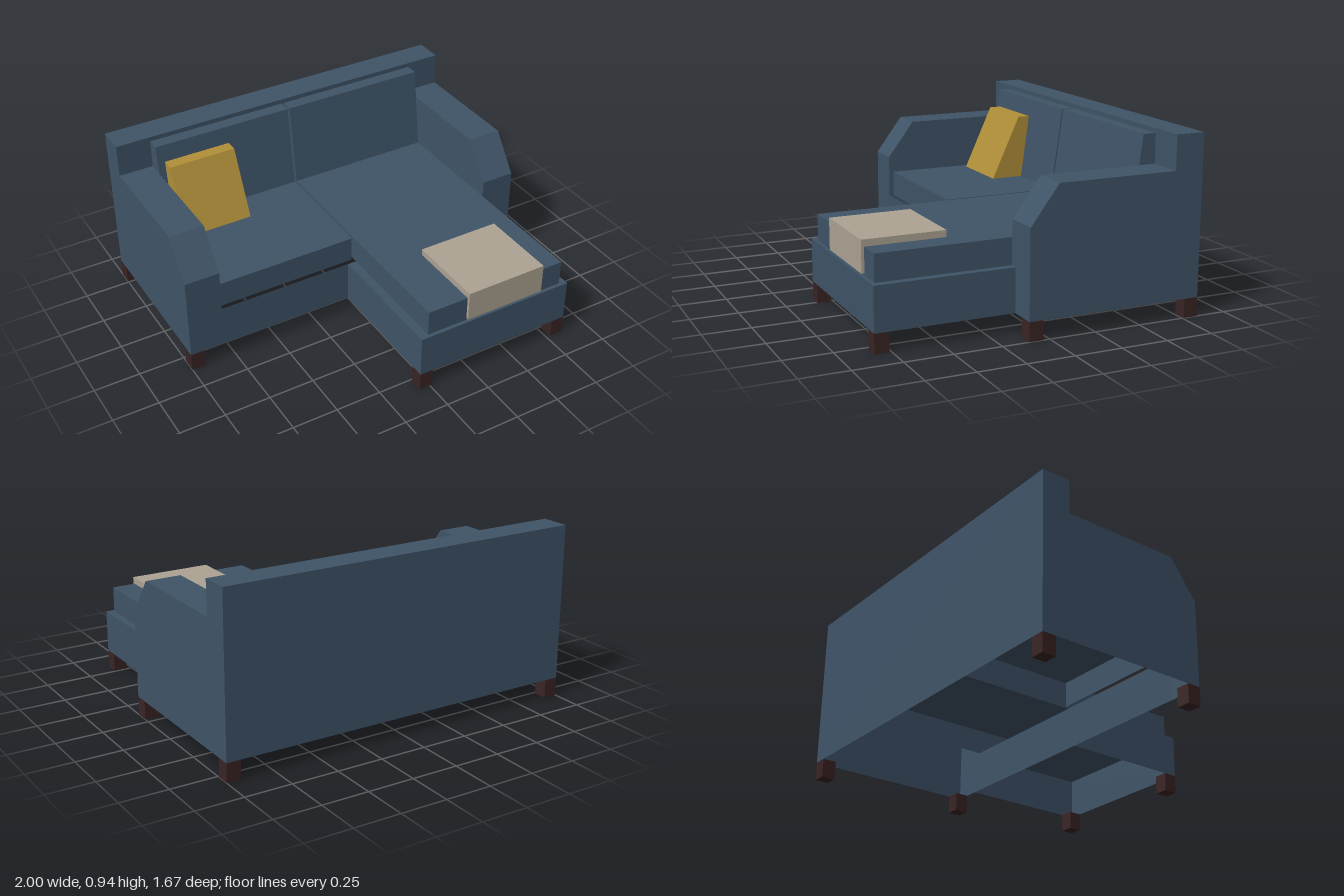
import * as THREE from 'three';

export function createModel() {
  const model = new THREE.Group();
  model.name = 'chaiseSofa';
  const material = (name, color) => {
    const m = new THREE.MeshStandardMaterial({ color, side: THREE.DoubleSide });
    m.name = name;
    return m;
  };
  const blue = material('blueFabric', 0x3f5468);
  const gold = material('goldFabric', 0xb08f38);
  const beige = material('beigeFabric', 0xada393);
  const wood = material('darkWood', 0x3a2424);

  const add = (name, geometry, mat, parent = model) => {
    const mesh = new THREE.Mesh(geometry, mat);
    mesh.name = name;
    parent.add(mesh);
    return mesh;
  };

  // Box given by its limits; an open box has no underside
  const box = (x0, x1, y0, y1, z0, z1, open = false) => {
    const g = new THREE.BoxGeometry(x1 - x0, y1 - y0, z1 - z0);
    if (open) {
      const index = Array.from(g.index.array);
      index.splice(18, 6);
      g.setIndex(index);
      g.clearGroups();
    }
    return g.translate((x0 + x1) / 2, (y0 + y1) / 2, (z0 + z1) / 2);
  };

  // Flat panel fanned from its first corner
  const panel = (points) => {
    const pos = [];
    for (let i = 1; i < points.length - 1; i++) pos.push(...points[0], ...points[i], ...points[i + 1]);
    const g = new THREE.BufferGeometry();
    g.setAttribute('position', new THREE.Float32BufferAttribute(pos, 3));
    g.computeVertexNormals();
    return g;
  };

  // Solid with a side profile of [z, y] points, running from x0 to x1
  const prism = (profile, x0, x1) => {
    const shape = new THREE.Shape(profile.map(([z, y]) => new THREE.Vector2(-z, y)));
    const g = new THREE.ExtrudeGeometry(shape, { depth: x1 - x0, bevelEnabled: false });
    return g.rotateY(Math.PI / 2).translate(x0, 0, 0);
  };

  const back = -0.835, backFront = -0.68, front = 0.11;
  const floor = 0.1, deck = 0.33, seat = 0.47, armTop = 0.76, top = 0.94;
  const inner = 0.81;

  // Backrest shell
  const backrest = new THREE.Group();
  backrest.name = 'backrest';
  model.add(backrest);
  add('backPanel', panel([[1, floor, back], [-1, floor, back], [-1, top, back], [1, top, back]]), blue, backrest);
  add('backTop', panel([[-1, top, backFront], [1, top, backFront], [1, top, back], [-1, top, back]]), blue, backrest);
  add('backFront', panel([[-1, deck, backFront], [1, deck, backFront], [1, top, backFront], [-1, top, backFront]]), blue, backrest);

  // Front rail between the arms
  add('frontRail', panel([[-inner, floor, front], [inner, floor, front], [inner, deck, front], [-inner, deck, front]]), blue);

  // Hollow arms with a sloping front
  const slope = [[front, 0.56], [-0.04, armTop], [backFront, armTop]];
  for (const s of [-1, 1]) {
    const arm = new THREE.Group();
    arm.name = s > 0 ? 'leftArm' : 'rightArm';
    model.add(arm);
    // corners listed for the left arm, turned round for the mirrored one
    const face = (name, pts) => {
      const p = pts.map(([x, y, z]) => [x * s, y, z]);
      add(name, panel(s > 0 ? p : [p[0], ...p.slice(1).reverse()]), blue, arm);
    };
    const side = [[front, floor], ...slope, [backFront, top], [back, top]];
    face('armOuterSide', [[1, floor, back], ...side.map(([z, y]) => [1, y, z]).reverse()]);
    face('armInnerSide', [[inner, deck, backFront], [inner, deck, front], ...slope.map(([z, y]) => [inner, y, z])]);
    face('armFront', [[inner, floor, front], [1, floor, front], [1, 0.56, front], [inner, 0.56, front]]);
    face('armSlope', [[inner, 0.56, front], [1, 0.56, front], [1, armTop, -0.04], [inner, armTop, -0.04]]);
    face('armTop', [[inner, armTop, -0.04], [1, armTop, -0.04], [1, armTop, backFront], [inner, armTop, backFront]]);
  }

  // Chaise base and hollow seat cushions
  add('chaiseBase', box(-0.06, 0.85, floor, deck, front, 0.835, true), blue);
  add('seatCushion', box(-inner, -0.023, deck, seat, backFront, 0.085, true), blue);
  add('chaiseCushion', box(-0.011, inner, deck, seat, backFront, 0.815, true), blue);

  // Back cushions with a leaning front
  const lean = [[backFront, seat], [-0.55, seat], [-0.61, 0.915], [backFront, 0.915]];
  add('backCushionRight', prism(lean, -inner, -0.023), blue);
  add('backCushionLeft', prism(lean, -0.011, inner), blue);

  // Wedge-shaped throw pillow
  add('throwPillow', prism([[-0.55, seat], [-0.37, seat], [-0.53, 0.82], [-0.6, 0.82]], -0.77, -0.395), gold);

  // Blanket folded over the end of the chaise
  add('blanket', prism([[0.395, seat], [0.815, seat], [0.815, 0.34], [0.83, 0.34], [0.83, 0.505], [0.395, 0.505]], 0.22, 0.68), beige);

  // Square legs, by their lowest x and z corner
  const w = 0.075;
  for (const [x, z] of [[-1, back], [1 - w, back], [-1, front - w], [1 - w, front - w], [-0.06, 0.76], [0.85 - w, 0.76]]) {
    add('leg', box(x, x + w, 0, floor, z, z + w), wood);
  }
  return model;
}
